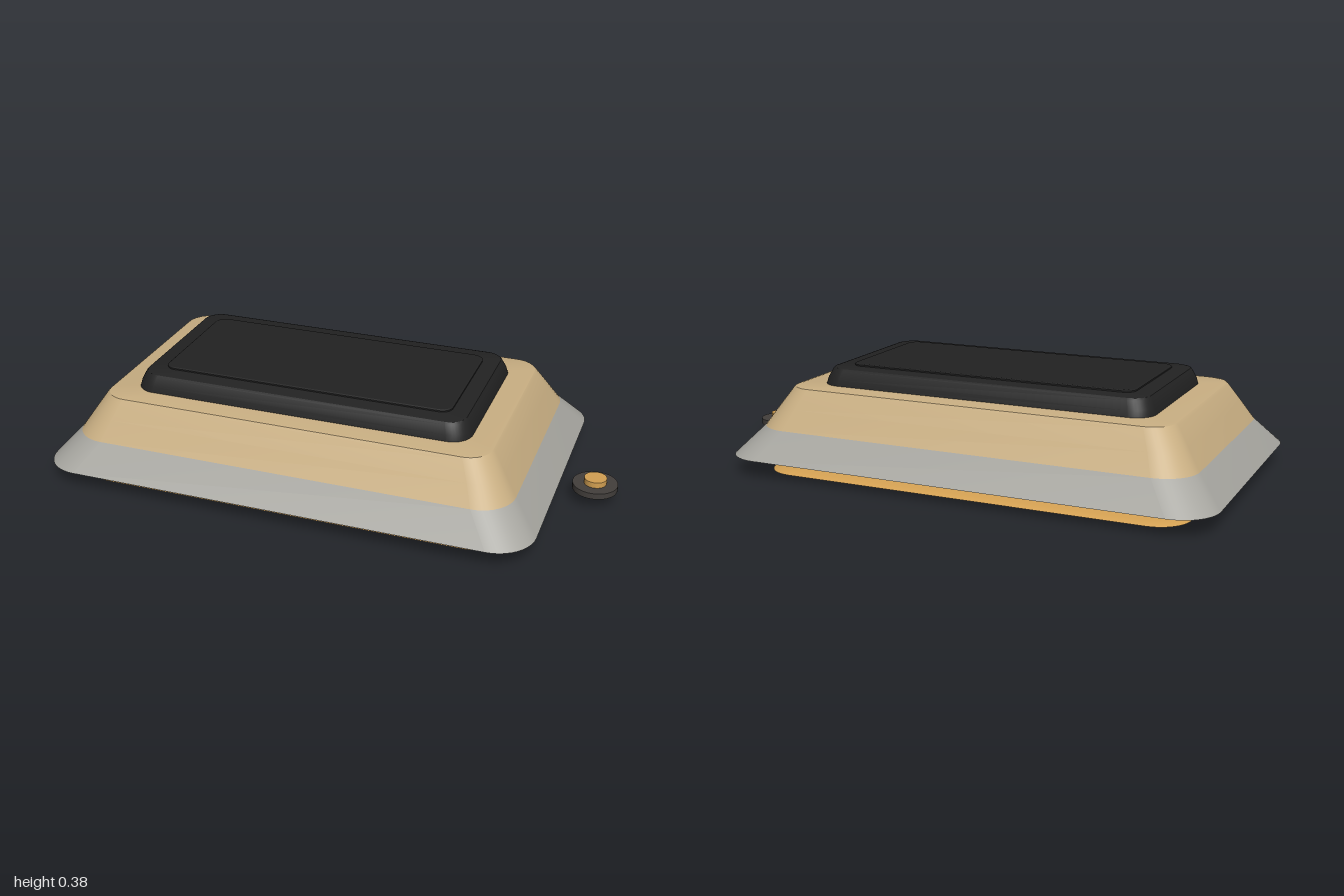
import * as THREE from 'three';
import { toCreasedNormals } from 'three/addons/utils/BufferGeometryUtils.js';

const material = (name, color) => {
  const m = new THREE.MeshStandardMaterial({ color });
  m.name = name;
  return m;
};

// Closed solid through rounded rectangles; each level is [y, halfX, halfZ, cornerRadius].
function roundedLoft(levels, steps = 10) {
  const points = [], index = [];
  const count = 4 * (steps + 1);
  for (const [y, hx, hz, r] of levels) {
    for (let corner = 0; corner < 4; corner++) {
      const sx = corner === 0 || corner === 3 ? 1 : -1;
      const sz = corner < 2 ? 1 : -1;
      for (let s = 0; s <= steps; s++) {
        const t = (corner + s / steps) * Math.PI / 2;
        points.push(sx * (hx - r) + r * Math.cos(t), y, sz * (hz - r) + r * Math.sin(t));
      }
    }
  }
  const last = levels.length - 1;
  const bottom = points.length / 3, top = bottom + 1;
  points.push(0, levels[0][0], 0, 0, levels[last][0], 0);
  for (let j = 0; j < count; j++) {
    const k = (j + 1) % count;
    for (let i = 0; i < last; i++) {
      const a = i * count + j, b = i * count + k;
      index.push(a, a + count, b, b, a + count, b + count);
    }
    index.push(bottom, j, k, top, last * count + k, last * count + j);
  }
  const geometry = new THREE.BufferGeometry();
  geometry.setAttribute('position', new THREE.Float32BufferAttribute(points, 3));
  geometry.setIndex(index);
  return toCreasedNormals(geometry, 0.5);
}

export function createModel() {
  const model = new THREE.Group();
  const grey = material('stone grey', 0xa6a59f);
  const tan = material('tan', 0xc8ae82);
  const black = material('black', 0x222222);
  const gold = material('gold', 0xd3a052);
  const dark = material('dark grey', 0x433f3c);

  const add = (name, geometry, mat, x, y = 0, z = 0) => {
    const mesh = new THREE.Mesh(geometry, mat);
    mesh.name = name;
    mesh.position.set(x, y, z);
    model.add(mesh);
  };

  // Stacked tiers, centred a little to the right to leave room for the button
  const cx = -0.1;
  add('bottomPlate', roundedLoft([
    [0, 0.79, 0.48, 0.12], [0.004, 0.785, 0.475, 0.12], [0.012, 0.765, 0.455, 0.11],
  ]), gold, cx);
  add('baseSkirt', roundedLoft([
    [0.065, 0.9, 0.572, 0.14], [0.165, 0.81, 0.49, 0.125],
  ]), grey, cx);
  add('body', roundedLoft([
    [0.165, 0.81, 0.49, 0.125], [0.235, 0.764, 0.447, 0.105],
    [0.298, 0.722, 0.409, 0.09], [0.305, 0.714, 0.404, 0.085], [0.308, 0.7, 0.392, 0.08],
  ]), tan, cx);
  add('topPad', roundedLoft([
    [0.307, 0.626, 0.325, 0.075], [0.33, 0.62, 0.319, 0.072],
    [0.36, 0.606, 0.304, 0.066], [0.367, 0.6, 0.298, 0.062], [0.37, 0.59, 0.288, 0.056],
  ]), black, cx);
  add('topPanel', roundedLoft([
    [0.369, 0.54, 0.24, 0.04], [0.375, 0.54, 0.24, 0.04], [0.378, 0.535, 0.235, 0.036],
  ]), black, cx);

  // Separate round button beside the body
  add('buttonBase', new THREE.CylinderGeometry(0.08, 0.08, 0.022, 40), dark, 0.92, 0.056, 0.012);
  add('buttonCap', new THREE.CylinderGeometry(0.04, 0.04, 0.022, 32), gold, 0.92, 0.077, 0.012);

  return model;
}
